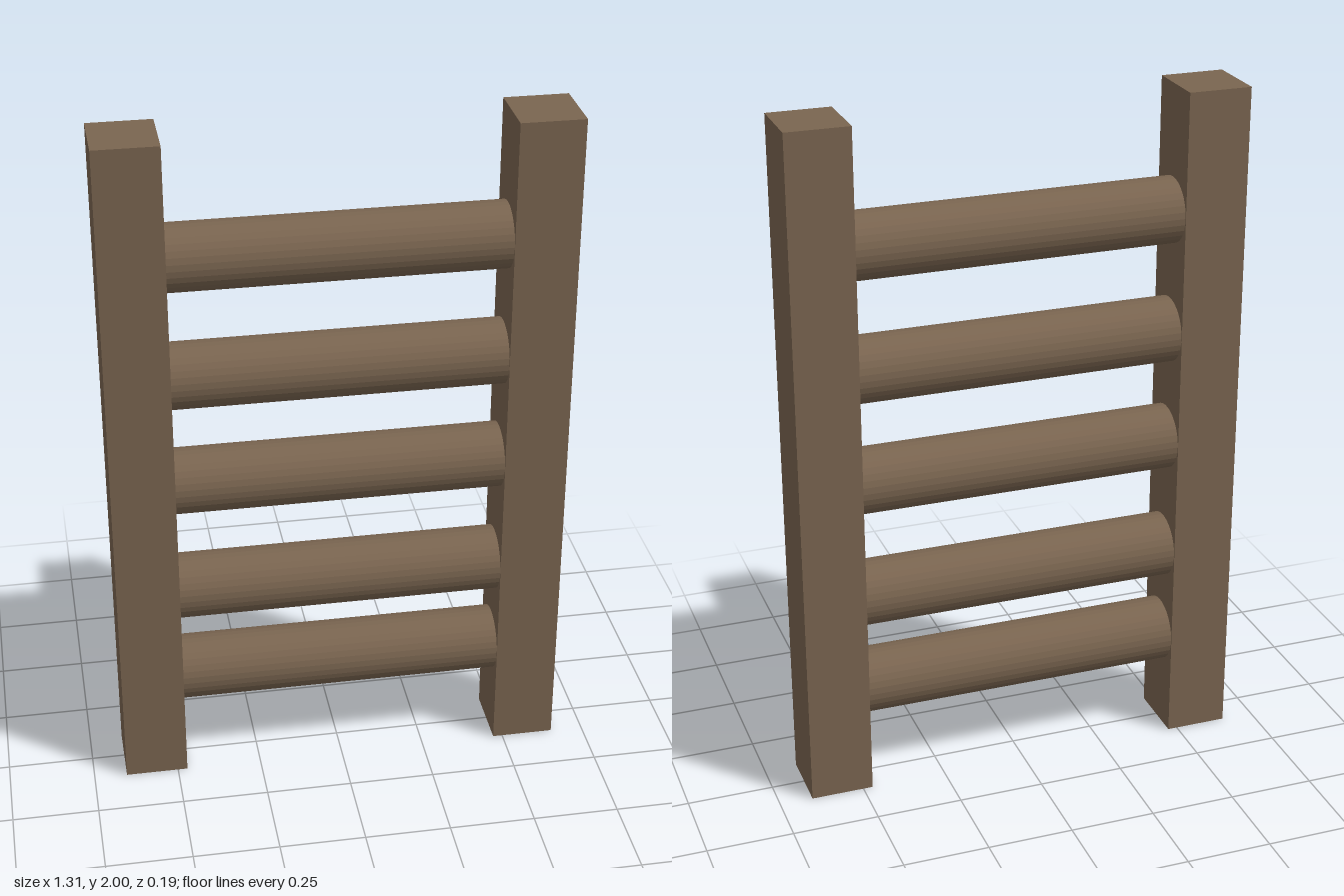
import * as THREE from 'three';

export function createModel() {
  const model = new THREE.Group();
  model.name = 'ladder';

  const wood = new THREE.MeshStandardMaterial({ color: 0x7a6550, flatShading: true });
  wood.name = 'brown wood';

  // Two square side posts
  const postGeometry = new THREE.BoxGeometry(0.182, 2, 0.194);
  for (const side of [-1, 1]) {
    const post = new THREE.Mesh(postGeometry, wood);
    post.name = side > 0 ? 'leftPost' : 'rightPost';
    post.position.set(side * 0.563, 1, 0);
    model.add(post);
  }

  // Five round rungs, the lowest set slightly closer to its neighbour
  const rungGeometry = new THREE.CylinderGeometry(0.095, 0.095, 0.96, 32);
  rungGeometry.rotateZ(Math.PI / 2);
  [0.31, 0.597, 0.95, 1.286, 1.643].forEach((y, i) => {
    const rung = new THREE.Mesh(rungGeometry, wood);
    rung.name = `rung${i + 1}`;
    rung.position.y = y;
    model.add(rung);
  });

  return model;
}
